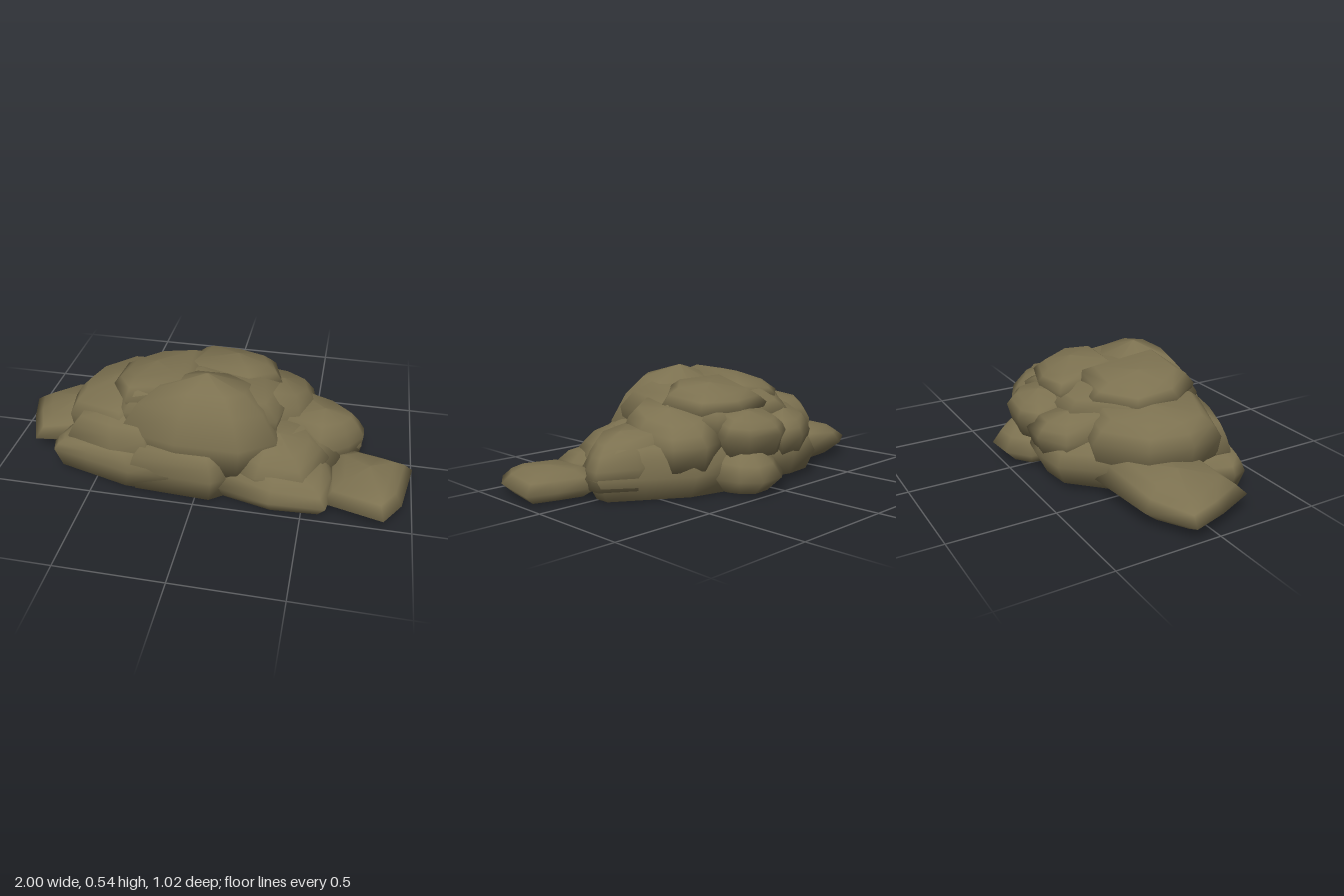
import * as THREE from 'three';

const stoneBrown = new THREE.MeshStandardMaterial({ color: 0x7c7150 });
stoneBrown.name = 'stoneBrown';

// A worn boulder: its outline [x, z] is swept through foot, belly, shoulder and top rings.
// slope tilts the upper half along x and z; peak lifts the middle of the top.
function boulder(name, outline, foot, belly, top, { slope = [0, 0], peak = 0.02, footScale = 0.84, topScale = 0.6 } = {}) {
  const n = outline.length;
  const cx = outline.reduce((s, p) => s + p[0], 0) / n;
  const cz = outline.reduce((s, p) => s + p[1], 0) / n;
  const shoulder = belly + (top - belly) * 0.6;
  const rings = [
    [0.02, foot, 0], [footScale, foot, 0], [1, belly, 0.2],
    [(1 + topScale) / 2 + 0.02, shoulder, 0.8], [topScale, top, 1], [0.02, top + peak, 1],
  ];
  const positions = [];
  const index = [];
  rings.forEach(([scale, y, tilt], r) => {
    outline.forEach(([x, z], i) => {
      const dx = (x - cx) * scale;
      const dz = (z - cz) * scale;
      const lift = tilt * (slope[0] * dx + slope[1] * dz);
      positions.push(cx + dx, Math.max(0, y + lift), cz + dz);
      if (r === 0) return;
      const j = (i + 1) % n;
      const a = (r - 1) * n + i, b = (r - 1) * n + j, c = r * n + i, d = r * n + j;
      index.push(a, b, d, a, d, c);
    });
  });
  // Close the tiny rings at the foot and the top.
  const last = (rings.length - 1) * n;
  for (let i = 1; i < n - 1; i++) {
    index.push(0, i + 1, i, last, last + i, last + i + 1);
  }
  const geometry = new THREE.BufferGeometry();
  geometry.setAttribute('position', new THREE.Float32BufferAttribute(positions, 3));
  geometry.setIndex(index);
  geometry.computeVertexNormals();
  const mesh = new THREE.Mesh(geometry, stoneBrown);
  mesh.name = name;
  return mesh;
}

// Outlines run from the back left, along the front, to the back right.
export function createModel() {
  const group = new THREE.Group();
  group.name = 'rockPile';
  group.add(
    // Low end stones
    boulder('rightEndStone', [[-0.8, -0.24], [-1, -0.12], [-0.95, 0.05], [-0.87, 0.24], [-0.55, 0.2], [-0.35, 0], [-0.45, -0.28]],
      0.005, 0.075, 0.17, { slope: [0.16, 0], topScale: 0.62, footScale: 0.64 }),
    boulder('leftEndStone', [[0.58, 0.08], [0.59, 0.43], [0.87, 0.505], [0.95, 0.38], [1, 0.1], [0.87, 0.06], [0.7, 0.02]],
      0.005, 0.05, 0.125, { topScale: 0.55, footScale: 0.74, peak: 0.014 }),

    // Ground layer
    boulder('groundCore', [[-0.5, -0.2], [-0.62, 0.1], [-0.5, 0.33], [0, 0.4], [0.5, 0.4], [0.66, 0.15], [0.62, -0.1], [0.3, -0.3], [-0.1, -0.32]],
      0.004, 0.1, 0.27, { topScale: 0.72 }),
    boulder('frontRightSlab', [[-0.7, 0.08], [-0.75, 0.27], [-0.73, 0.34], [-0.55, 0.39], [-0.32, 0.455], [-0.12, 0.46], [-0.15, 0.1]],
      0.005, 0.1, 0.175, { topScale: 0.78, footScale: 0.86, slope: [0.08, 0] }),
    boulder('frontMiddleSlab', [[-0.36, 0.1], [-0.32, 0.45], [0.08, 0.47], [0.16, 0.41], [0.18, 0.1]],
      0, 0.11, 0.23, { topScale: 0.8, footScale: 0.9 }),
    boulder('frontLeftSlab', [[0.15, 0.1], [0.05, 0.42], [0.35, 0.495], [0.61, 0.48], [0.65, 0.3], [0.62, 0.08]],
      0, 0.06, 0.16, { topScale: 0.68, slope: [-0.1, -0.1] }),
    boulder('backLeftSlab', [[0.12, -0.37], [0.1, -0.1], [0.6, 0.12], [0.75, 0.02], [0.75, -0.07], [0.58, -0.18], [0.38, -0.31]],
      0.005, 0.1, 0.23, { topScale: 0.65 }),
    boulder('backMiddleSlab', [[-0.08, -0.42], [-0.12, -0.05], [0.28, -0.05], [0.28, -0.35], [0.25, -0.44], [0.17, -0.515], [0.03, -0.505]],
      0.005, 0.075, 0.19, { topScale: 0.5, footScale: 0.64, slope: [0, 0.1] }),
    boulder('backRightSlab', [[-0.34, -0.41], [-0.55, -0.2], [-0.45, 0], [-0.1, 0], [0, -0.4], [-0.15, -0.43]],
      0.03, 0.13, 0.24, { topScale: 0.66, slope: [0, 0.12], footScale: 0.76 }),

    // Middle layer
    boulder('rightShoulder', [[-0.45, -0.29], [-0.64, -0.12], [-0.69, 0.08], [-0.66, 0.25], [-0.38, 0.36], [-0.15, 0.1], [-0.18, -0.24]],
      0.1, 0.26, 0.365, { topScale: 0.7, slope: [0.12, 0.06], footScale: 0.92 }),
    boulder('frontRightBlock', [[-0.64, 0.1], [-0.66, 0.31], [-0.42, 0.4], [-0.22, 0.43], [-0.2, 0.1]],
      0.08, 0.18, 0.31, { topScale: 0.7, slope: [0.12, -0.18], footScale: 0.96 }),
    boulder('frontLeftBlock', [[0.15, 0.05], [0.12, 0.38], [0.28, 0.44], [0.5, 0.42], [0.6, 0.2], [0.52, 0.02]],
      0.07, 0.15, 0.265, { topScale: 0.6, slope: [-0.2, -0.2], footScale: 0.95 }),
    boulder('leftShoulder', [[0.28, -0.22], [0.28, 0.2], [0.55, 0.21], [0.69, 0.1], [0.755, 0], [0.755, -0.07], [0.6, -0.17]],
      0.05, 0.15, 0.27, { topScale: 0.64, slope: [-0.18, 0], footScale: 0.94 }),
    boulder('upperLeftBlock', [[0.2, -0.3], [0.1, 0], [0.3, 0.2], [0.45, 0.13], [0.52, -0.05], [0.48, -0.26], [0.34, -0.33]],
      0.12, 0.24, 0.36, { topScale: 0.66, slope: [-0.2, 0.22], footScale: 0.94 }),
    boulder('backKnob', [[-0.13, -0.4], [-0.18, -0.15], [0.2, -0.12], [0.25, -0.36], [0.17, -0.43], [-0.02, -0.455]],
      0.16, 0.265, 0.34, { topScale: 0.66, slope: [0, 0.22], footScale: 0.8 }),
    boulder('backRightKnob', [[-0.35, -0.37], [-0.44, -0.12], [-0.1, -0.1], [-0.06, -0.43], [-0.2, -0.44]],
      0.14, 0.23, 0.32, { topScale: 0.68, slope: [0, 0.25] }),

    // Crown
    boulder('crownFront', [[-0.15, -0.08], [-0.37, 0.1], [-0.38, 0.36], [-0.1, 0.43], [0.2, 0.43], [0.36, 0.32], [0.36, 0.08], [0.15, -0.08]],
      0.12, 0.27, 0.475, { topScale: 0.54, slope: [0, 0.14], peak: 0.06, footScale: 0.96 }),
    boulder('crownBase', [[-0.25, -0.3], [-0.45, -0.1], [-0.47, 0.15], [-0.36, 0.33], [0.12, 0.34], [0.35, 0.26], [0.4, -0.08], [0.24, -0.3]],
      0.2, 0.345, 0.45, { topScale: 0.66, slope: [-0.03, 0.16], footScale: 0.94 }),
    boulder('crownRight', [[-0.28, -0.2], [-0.45, -0.06], [-0.46, 0.15], [-0.36, 0.31], [-0.05, 0.3], [-0.02, -0.18]],
      0.3, 0.4, 0.475, { topScale: 0.64, slope: [0.18, 0.14], peak: 0.015 }),
    boulder('crownBack', [[-0.12, -0.28], [-0.16, 0.05], [0.2, 0.1], [0.34, -0.03], [0.28, -0.23], [0.08, -0.3]],
      0.3, 0.385, 0.46, { topScale: 0.66, slope: [-0.06, 0.22] }),
  );
  return group;
}
